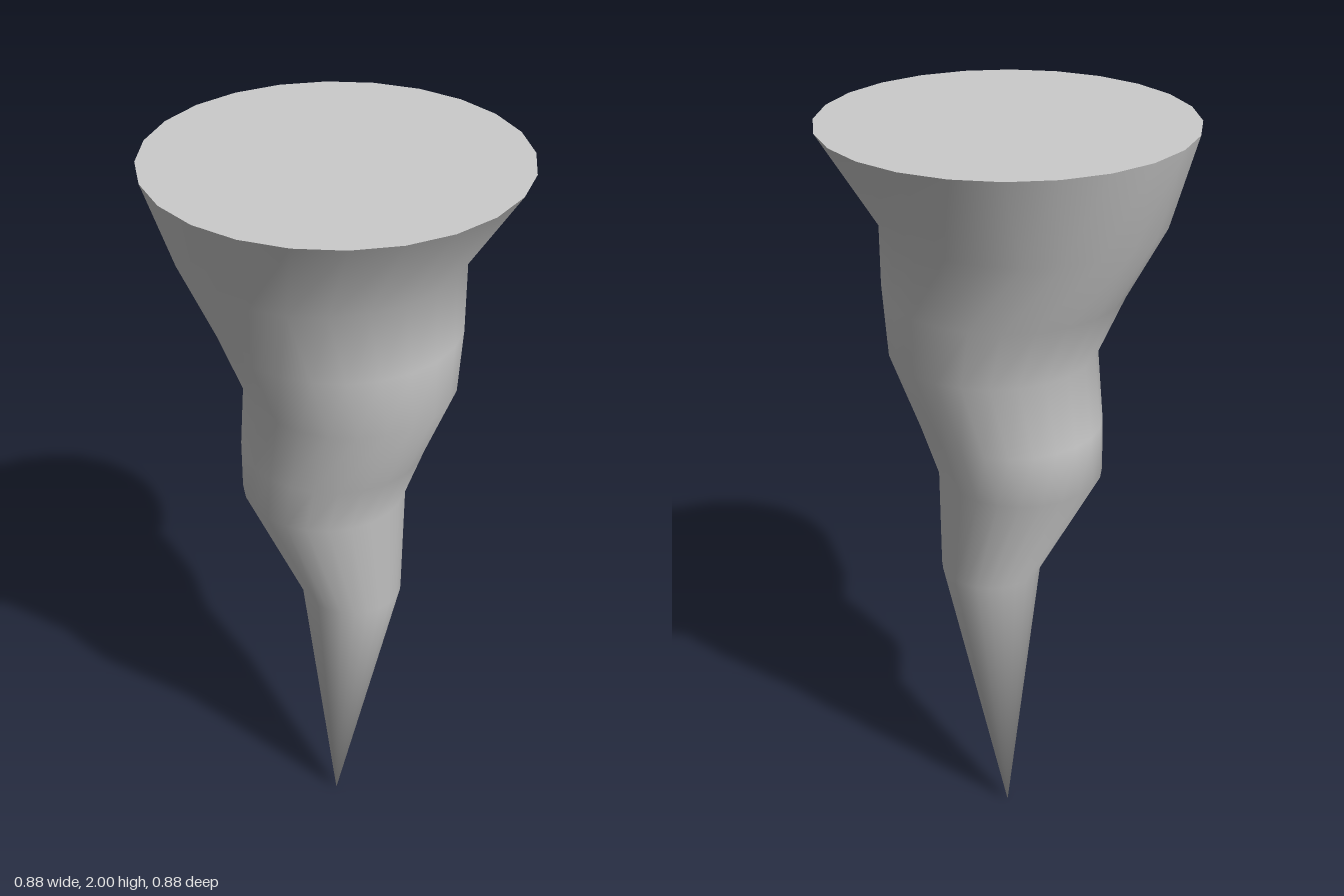
import * as THREE from 'three';
import { mergeVertices } from 'three/addons/utils/BufferGeometryUtils.js';

const SIDES = 24;

// Rings from top to tip: [height, sideways shift, radius]
const RINGS = [
  [2, 0, 0.442],
  [1.78, -0.04, 0.341],
  [1.6, 0.008, 0.296],
  [1.44, 0.038, 0.258],
  [1.25, -0.008, 0.23],
  [1.11, -0.034, 0.208],
  [0.81, 0.045, 0.131],
  [0, 0, 0],
];

export function createModel() {
  const group = new THREE.Group();
  group.name = 'twistedSpike';
  const material = new THREE.MeshStandardMaterial({ color: 0xcccccc });

  // Crooked spike: each row of a cone is moved to its own ring
  let geometry = new THREE.CylinderGeometry(1, 0, 2, SIDES, RINGS.length - 1, true);
  const pos = geometry.attributes.position;
  for (let i = 0; i < pos.count; i++) {
    const [y, shift, radius] = RINGS[Math.floor(i / (SIDES + 1))];
    const angle = ((i % (SIDES + 1)) / SIDES) * Math.PI * 2;
    pos.setXYZ(i, shift + Math.sin(angle) * radius, y, Math.cos(angle) * radius);
  }
  // Weld the seam so the shading stays smooth all round
  geometry.deleteAttribute('uv');
  geometry.deleteAttribute('normal');
  geometry = mergeVertices(geometry, 1e-4);
  geometry.computeVertexNormals();
  const spike = new THREE.Mesh(geometry, material);
  spike.name = 'spikeBody';
  group.add(spike);

  // Flat top
  const cap = new THREE.Mesh(new THREE.CircleGeometry(RINGS[0][2], SIDES), material);
  cap.name = 'topCap';
  cap.rotation.x = -Math.PI / 2;
  cap.position.y = RINGS[0][0];
  group.add(cap);

  return group;
}
